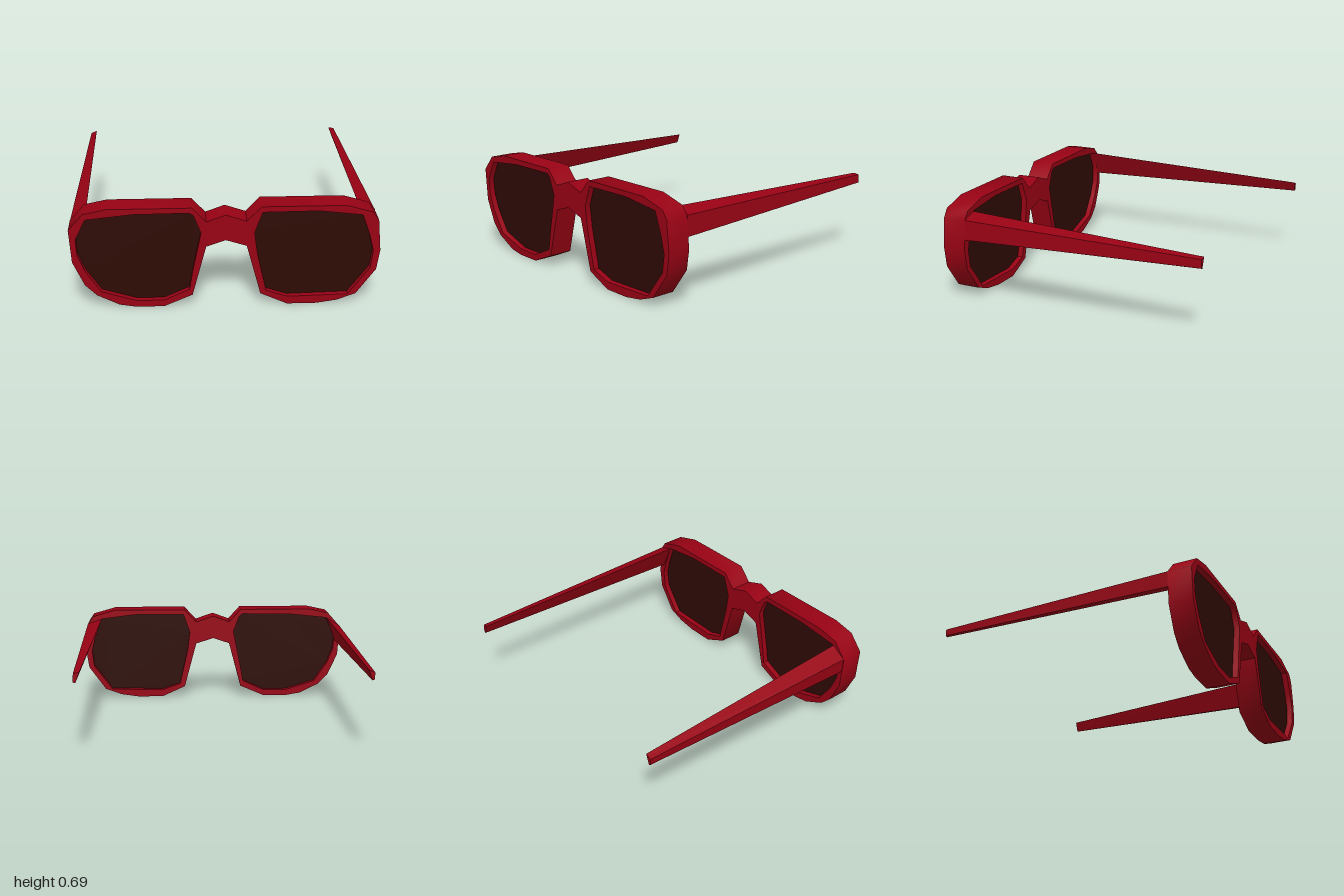
import * as THREE from 'three';
import { toCreasedNormals } from 'three/addons/utils/BufferGeometryUtils.js';

const BACK = 0.76, FRONT = 0.925;
const red = new THREE.MeshStandardMaterial({ color: 0x980214 });
const dark = new THREE.MeshStandardMaterial({ color: 0x2e0a04 });

// Outer outline of the front: rims and bridge in one clockwise loop
const outline = [
  [-1, 0.555], [-0.905, 0.663], [-0.755, 0.695], [-0.215, 0.695], [-0.125, 0.597], [0, 0.643],
  [0.135, 0.597], [0.227, 0.695], [0.767, 0.695], [0.943, 0.645], [0.98, 0.59], [1, 0.375],
  [0.98, 0.24], [0.853, 0.065], [0.73, 0.02], [0.595, 0], [0.403, 0], [0.227, 0.08],
  [0.135, 0.425], [0, 0.468], [-0.125, 0.425], [-0.215, 0.08], [-0.4, 0], [-0.58, 0],
  [-0.69, 0.018], [-0.835, 0.09], [-0.91, 0.165], [-0.985, 0.33],
];
// Lens openings, also clockwise
const rightOpening = [
  [-0.89, 0.625], [-0.59, 0.657], [-0.23, 0.66], [-0.205, 0.642], [-0.158, 0.52], [-0.217, 0.23],
  [-0.235, 0.12], [-0.4, 0.045], [-0.58, 0.045], [-0.805, 0.115], [-0.905, 0.265],
  [-0.95, 0.375], [-0.957, 0.49],
];
const leftOpening = [
  [0.235, 0.657], [0.595, 0.66], [0.875, 0.627], [0.928, 0.48], [0.955, 0.37], [0.94, 0.25],
  [0.8, 0.062], [0.403, 0.053], [0.265, 0.1], [0.205, 0.365], [0.185, 0.515],
];

const toPoints = (list) => list.map(([x, y]) => new THREE.Vector2(x, y));

function slab(name, points, holes, z0, z1, material) {
  const shape = new THREE.Shape(toPoints(points));
  // Holes run against the outline so that their walls face inwards
  shape.holes = holes.map((h) => new THREE.Path(toPoints(h).reverse()));
  const geometry = new THREE.ExtrudeGeometry(shape, { depth: z1 - z0, bevelEnabled: false });
  geometry.translate(0, 0, z0);
  const mesh = new THREE.Mesh(toCreasedNormals(geometry, 0.9), material);
  mesh.name = name;
  return mesh;
}

// Tapered arm: a box whose corners follow the hinge and tip cross-sections,
// each given as [outer top, inner top, outer bottom, inner bottom]
function arm(name, side, hinge, tip) {
  const geometry = new THREE.BoxGeometry(1, 1, 1);
  const p = geometry.attributes.position;
  for (let i = 0; i < p.count; i++) {
    const atHinge = p.getZ(i) > 0;
    const inner = p.getX(i) * side < 0 ? 1 : 0;
    const bottom = p.getY(i) < 0 ? 2 : 0;
    const [x, y] = (atHinge ? hinge : tip)[bottom + inner];
    p.setXYZ(i, side * x, y, atHinge ? BACK : -0.925);
  }
  geometry.computeVertexNormals();
  const mesh = new THREE.Mesh(geometry, red);
  mesh.name = name;
  return mesh;
}

export function createModel() {
  const group = new THREE.Group();
  group.name = 'sunglasses';

  // Front frame with two openings
  group.add(slab('frontFrame', outline, [rightOpening, leftOpening], BACK, FRONT, red));

  // Lenses set in from both faces of the frame
  group.add(slab('rightLens', rightOpening, [], 0.8, 0.885, dark));
  group.add(slab('leftLens', leftOpening, [], 0.8, 0.885, dark));

  // Arms: tops slope down outwards, inner sides slant under
  group.add(arm('leftArm', 1,
    [[0.982, 0.59], [0.875, 0.625], [0.99, 0.454], [0.955, 0.445]],
    [[0.953, 0.564], [0.913, 0.57], [0.956, 0.507], [0.94, 0.5]]));
  group.add(arm('rightArm', -1,
    [[0.997, 0.56], [0.893, 0.625], [0.99, 0.454], [0.96, 0.445]],
    [[0.968, 0.552], [0.926, 0.57], [0.966, 0.507], [0.952, 0.5]]));

  return group;
}
